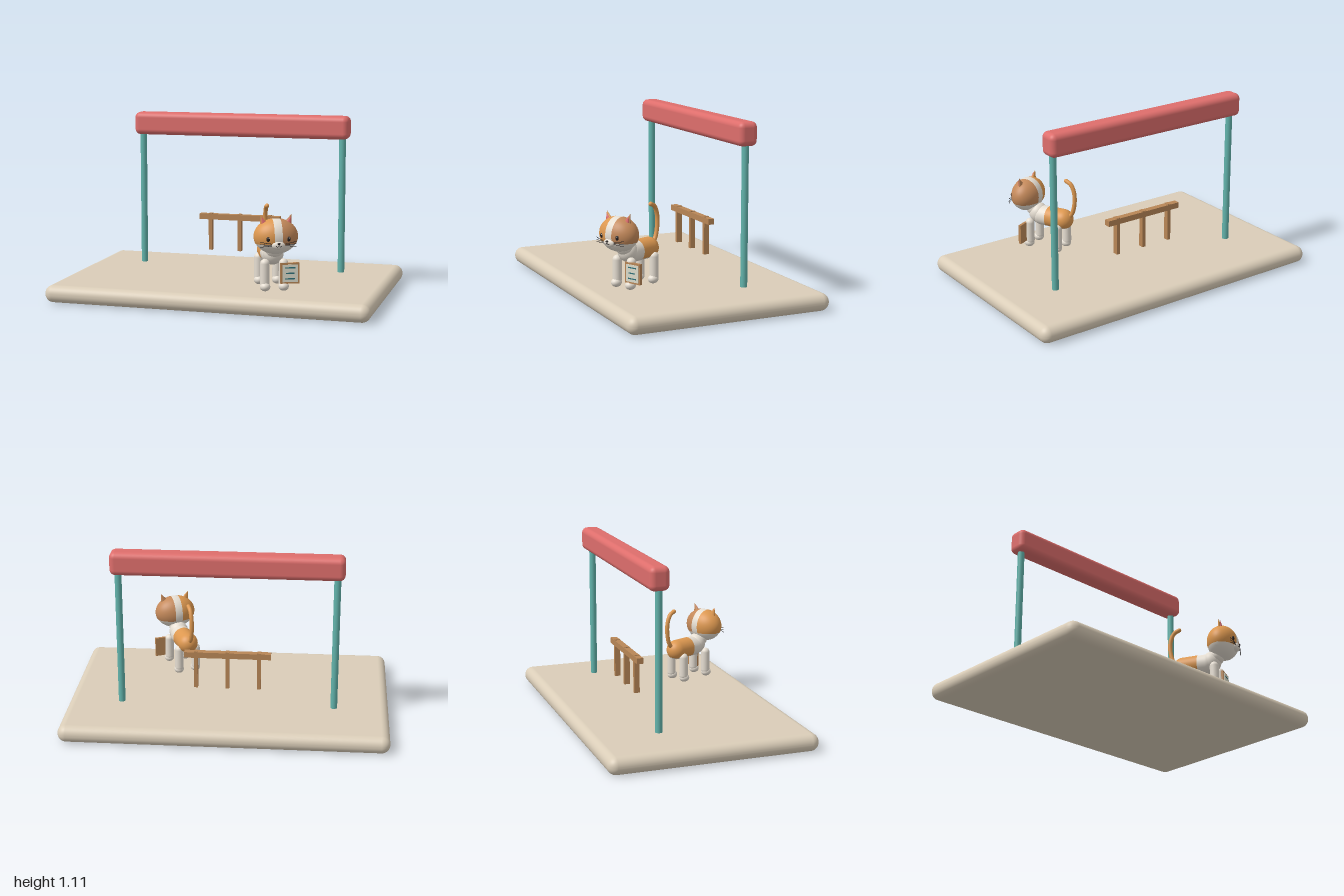
import * as THREE from 'three';
import { RoundedBoxGeometry } from 'three/addons/geometries/RoundedBoxGeometry.js';

const V = (x, y, z) => new THREE.Vector3(x, y, z);

function material(name, color, side = THREE.FrontSide) {
  const m = new THREE.MeshStandardMaterial({ color, side });
  m.name = name;
  return m;
}

// Patch of a round body about the x axis, from a0 to a1, kept above height y0
function patchGeometry(a0, a1, radius, y0) {
  const n = 32, m = 40, pos = [], idx = [];
  for (let i = 0; i <= n; i++) {
    const u = 1 - (1 - i / n) ** 2;
    const a = a0 + (a1 - a0) * u;
    const r = Math.max(radius(a), 1e-5);
    const half = Math.acos(THREE.MathUtils.clamp(y0 / r, -1, 1));
    for (let j = 0; j <= m; j++) {
      const t = half * (2 * j / m - 1);
      pos.push(a, r * Math.cos(t), r * Math.sin(t));
      if (i < n && j < m) {
        const k = i * (m + 1) + j;
        idx.push(k, k + 1, k + m + 1, k + 1, k + m + 2, k + m + 1);
      }
    }
  }
  const g = new THREE.BufferGeometry();
  g.setAttribute('position', new THREE.Float32BufferAttribute(pos, 3));
  g.setIndex(idx);
  g.computeVertexNormals();
  return g;
}

export function createModel() {
  const stone = material('stone', 0xdacdb8);
  const coral = material('coral', 0xde6e6c);
  const teal = material('teal', 0x62b3ab);
  const wood = material('wood', 0xb88656);
  const white = material('white fur', 0xe6ded2);
  const orange = material('orange fur', 0xdd9850);
  const brown = material('brown fur', 0xc4895a);
  const black = material('black', 0x241f1f);
  const paper = material('paper', 0xdcdccb);
  const ink = material('ink', 0x2f7078);

  const model = new THREE.Group();
  model.name = 'catStage';
  const add = (parent, name, geo, mat, p = [0, 0, 0], s = [1, 1, 1]) => {
    const mesh = new THREE.Mesh(geo, mat);
    mesh.name = name;
    mesh.position.set(...p);
    mesh.scale.set(...s);
    parent.add(mesh);
    return mesh;
  };
  const box = (w, h, d) => new THREE.BoxGeometry(w, h, d);
  const ball = new THREE.SphereGeometry(1, 40, 28);

  // Base slab and gate
  add(model, 'base', new RoundedBoxGeometry(2, 0.107, 1.29, 6, 0.052), stone, [0, 0.0535, 0]);
  add(model, 'beam', new RoundedBoxGeometry(1.41, 0.145, 0.123, 5, 0.035), coral, [0, 1.0325, -0.243]);
  for (const s of [-1, 1])
    add(model, 'post', new THREE.CylinderGeometry(0.021, 0.021, 0.86, 28), teal, [s * 0.66, 0.545, -0.24]);

  // Wooden rail
  add(model, 'rail', box(0.535, 0.036, 0.04), wood, [0, 0.438, -0.221]);
  for (const x of [-0.195, 0, 0.195])
    add(model, 'railLeg', box(0.023, 0.24, 0.034), wood, [x, 0.34, -0.221]);

  // Cat, turned toward its left
  const cat = new THREE.Group();
  cat.name = 'cat';
  cat.position.set(0.326, 0, 0.283);
  cat.rotation.y = 0.436;
  model.add(cat);

  const bodyGeo = new THREE.CapsuleGeometry(0.063, 0.155, 16, 40).rotateX(Math.PI / 2);
  add(cat, 'body', bodyGeo, white, [0, 0.324, 0.008]);
  const R = 0.065;
  const rumpRadius = a => (a < 0.07 ? R : Math.sqrt(Math.max(0, R * R - (a - 0.07) ** 2)));
  add(cat, 'rumpPatch', patchGeometry(-0.035, 0.07 + R, rumpRadius, -0.046).rotateY(Math.PI / 2),
    orange, [0, 0.324, 0]);
  add(cat, 'chest', ball, white, [0, 0.335, 0.115], [0.062, 0.066, 0.058]);
  add(cat, 'neck', ball, white, [0, 0.365, 0.145], [0.055, 0.05, 0.05]);

  // Legs and paws
  const legGeo = new THREE.CapsuleGeometry(0.028, 0.12, 10, 24);
  for (const x of [-0.056, 0.056])
    for (const z of [-0.06, 0.146]) {
      add(cat, 'leg', legGeo, white, [x, 0.22, z]);
      add(cat, 'paw', ball, white, [x, 0.142, z + 0.008], [0.031, 0.027, 0.034]);
    }

  // Tail, curled forward at the tip
  const tailPath = new THREE.CatmullRomCurve3([
    V(0, 0.34, -0.1), V(0, 0.37, -0.133), V(0, 0.44, -0.154),
    V(0, 0.52, -0.152), V(0, 0.57, -0.128), V(0, 0.587, -0.095)]);
  add(cat, 'tail', new THREE.TubeGeometry(tailPath, 40, 0.0135, 16), orange);
  add(cat, 'tailTip', ball, orange, [0, 0.587, -0.095], [0.0135, 0.0135, 0.0135]);

  // Head with two coloured patches and a white blaze
  const head = new THREE.Group();
  head.name = 'head';
  head.position.set(0, 0.45, 0.19);
  cat.add(head);
  const size = [0.13, 0.105, 0.095];
  add(head, 'skull', ball, white, [0, 0, 0], size);
  const unit = a => Math.sqrt(Math.max(0, 1 - a * a));
  const coat = patchGeometry(0.18, 1, unit, -0.38);
  const coatSize = size.map(v => v * 1.012);
  add(head, 'leftCoat', coat, brown, [0, 0, 0], coatSize);
  add(head, 'rightCoat', coat.clone().rotateY(Math.PI), orange, [0, 0, 0], coatSize);
  add(head, 'muzzle', ball, white, [0, -0.04, 0.082], [0.04, 0.026, 0.024]);
  add(head, 'nose', ball, black, [0, -0.028, 0.105], [0.009, 0.006, 0.006]);

  const tube = (pts, r) => new THREE.TubeGeometry(new THREE.CatmullRomCurve3(pts), 10, r, 6);
  for (const s of [-1, 1]) {
    // Ears with coral insides
    const ear = new THREE.Group();
    ear.name = 'ear';
    ear.position.set(s * 0.076, 0.088, 0.004);
    ear.rotation.z = -s * 0.36;
    head.add(ear);
    add(ear, 'earShell', new THREE.ConeGeometry(0.038, 0.09, 28), s > 0 ? brown : orange,
      [0, 0, 0], [1, 1, 0.5]);
    add(ear, 'earInner', new THREE.ConeGeometry(0.029, 0.072, 28), coral,
      [0, -0.004, 0.009], [1, 1, 0.5]);

    // Eyes, mouth and whiskers
    add(head, 'eye', ball, black, [s * 0.06, -0.004, 0.084], [0.0115, 0.0145, 0.007]);
    add(head, 'eyeGlint', ball, white, [s * 0.06 + 0.003, 0.002, 0.09], [0.003, 0.003, 0.002]);
    add(head, 'mouth', tube([V(0, -0.034, 0.107), V(s * 0.008, -0.046, 0.105),
      V(s * 0.018, -0.042, 0.103)], 0.0018), black);
    for (const k of [-1, 0, 1])
      add(head, 'whisker', tube([V(s * 0.04, -0.036 + k * 0.006, 0.092),
        V(s * 0.075, -0.035 + k * 0.01, 0.089), V(s * 0.108, -0.034 + k * 0.015, 0.078)], 0.0016), black);
  }

  // Notice board beside the front paw
  const board = new THREE.Group();
  board.name = 'board';
  board.position.set(0.09, 0.222, 0.166);
  cat.add(board);
  add(board, 'boardPanel', box(0.114, 0.125, 0.018), wood);
  add(board, 'page', box(0.092, 0.104, 0.004), paper, [0, 0, 0.0105]);
  [0.034, 0.001, -0.032].forEach((y, i) =>
    add(board, 'pageLine', box(i === 1 ? 0.05 : 0.06, 0.007, 0.003), ink, [0, y, 0.0125]));

  return model;
}
